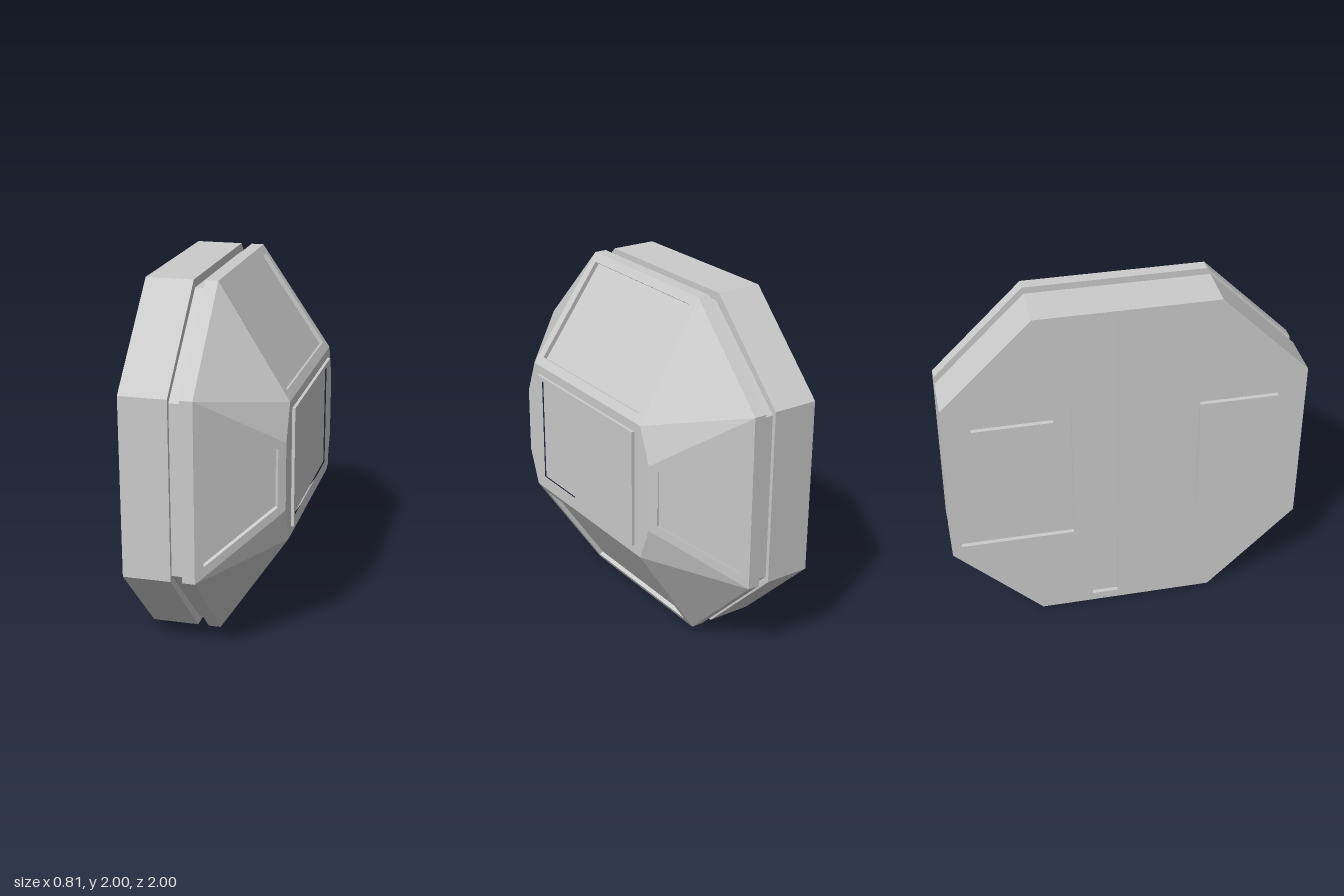
import * as THREE from 'three';

const material = new THREE.MeshStandardMaterial({ color: 0xcccccc, flatShading: true });
const DEPTH = 0.025; // depth of every recess
const BACK = -0.405, RIM = -0.01, CAP = 0.388, FRONT = 0.405;

// Octagon outline in (z, y), centred on 0, from its two corners in one quadrant
function octagon([z1, y1], [z2, y2]) {
  return [[z1, y1], [z2, y2], [-z2, y2], [-z1, y1], [-z1, -y1], [-z2, -y2], [z2, -y2], [z1, -y1]];
}

function rect(z0, z1, y0, y1) {
  return [[z0, y0], [z1, y0], [z1, y1], [z0, y1]];
}

// Shape whose drawing plane is turned to face +x
function outline(points, holes = []) {
  const toVectors = (list) => list.map(([z, y]) => new THREE.Vector2(-z, y));
  const shape = new THREE.Shape(toVectors(points));
  shape.holes = holes.map((h) => new THREE.Path(toVectors(h)));
  return shape;
}

function place(geometry, x, name) {
  geometry.rotateY(Math.PI / 2).translate(x, 1, 0);
  const mesh = new THREE.Mesh(geometry, material);
  mesh.name = name;
  return mesh;
}

function slab(name, x0, x1, points, holes) {
  const geometry = new THREE.ExtrudeGeometry(outline(points, holes), { depth: x1 - x0, bevelEnabled: false });
  return place(geometry, x0, name);
}

function sheet(name, x, points, holes) {
  return place(new THREE.ShapeGeometry(outline(points, holes)), x, name);
}

// Adds a convex polygon as triangles that face the given point
function addFace(out, points, toward) {
  const normal = new THREE.Triangle(points[0], points[1], points[2]).getNormal(new THREE.Vector3());
  const ordered = normal.dot(toward.clone().sub(points[0])) < 0 ? [...points].reverse() : points;
  for (let i = 1; i < ordered.length - 1; i++) out.push(ordered[0], ordered[i], ordered[i + 1]);
}

const centre = (points) => points.reduce((sum, p) => sum.add(p), new THREE.Vector3()).divideScalar(points.length);
const outside = (points) => centre(points).add(new THREE.Vector3(0.3, 0, 0)).multiplyScalar(10);

// Sloped four-sided face with a sunken panel
function addRecessedFace(out, outer, inner) {
  const far = outside(outer);
  const normal = new THREE.Triangle(outer[0], outer[1], outer[2]).getNormal(new THREE.Vector3());
  if (normal.dot(far) < 0) normal.negate();
  const floor = inner.map((p) => p.clone().addScaledVector(normal, -DEPTH));
  const middle = centre(inner);
  for (let i = 0; i < 4; i++) {
    const j = (i + 1) % 4;
    addFace(out, [outer[i], outer[j], inner[j], inner[i]], far);
    addFace(out, [inner[i], inner[j], floor[j], floor[i]], middle);
  }
  addFace(out, floor, far);
}

// Faceted shoulder between the rim and the front cap
function shoulder() {
  const out = [];
  const v = (x, y, z) => new THREE.Vector3(x, y, z);
  const slopeX = (from, to, value) => RIM + ((from - value) / (from - to)) * (CAP - RIM);

  for (const s of [1, -1]) {
    // Top and bottom faces
    const upper = (y, z) => [v(slopeX(1, 0.39, y), s * y, -z), v(slopeX(1, 0.39, y), s * y, z)];
    const [a, b] = upper(1, 0.5), [d, c] = upper(0.39, 0.55);
    const [e, f] = upper(0.957, 0.455), [h, g] = upper(0.435, 0.493);
    addRecessedFace(out, [a, b, c, d], [e, f, g, h]);

    // Side faces
    const side = (z, y) => [v(slopeX(1, 0.63, z), -y, s * z), v(slopeX(1, 0.63, z), y, s * z)];
    const [k, l] = side(1, 0.5), [n, m] = side(0.63, 0.19);
    const [p, q] = side(0.965, 0.412), [t, r] = side(0.663, 0.164);
    addRecessedFace(out, [k, l, m, n], [p, q, r, t]);

    // Corner facets
    for (const sz of [1, -1]) {
      const low = v(RIM, s * 0.5, sz), high = v(RIM, s, sz * 0.5);
      const capHigh = v(CAP, s * 0.39, sz * 0.55), capLow = v(CAP, s * 0.19, sz * 0.63);
      for (const tri of [[low, high, capHigh], [low, capHigh, capLow]]) addFace(out, tri, outside(tri));
    }
  }
  const geometry = new THREE.BufferGeometry().setFromPoints(out);
  geometry.translate(0, 1, 0);
  geometry.computeVertexNormals();
  const mesh = new THREE.Mesh(geometry, material);
  mesh.name = 'shoulder';
  return mesh;
}

export function createModel() {
  const group = new THREE.Group();
  group.name = 'facetedCase';
  const body = octagon([1, 0.5], [0.5, 1]);

  // Back plate with two slots and two recessed panels
  const openings = [];
  for (const s of [1, -1]) {
    openings.push(rect(s * 0.05, s * 0.2, -0.95, 0.95));
    openings.push(rect(s * 0.305, s * 0.945, -0.445, 0.445));
    group.add(slab('backPanelIsland', BACK, BACK + DEPTH + 0.01, rect(s * 0.405, s * 0.845, -0.345, 0.345)));
  }
  group.add(slab('backPlate', BACK, BACK + DEPTH, body, openings));

  // Main body, groove and rim
  group.add(slab('body', BACK + DEPTH, -0.142, body));
  group.add(slab('groove', -0.16, -0.06, octagon([0.978, 0.475], [0.478, 0.953])));
  group.add(slab('rim', -0.08, RIM, body));
  group.add(shoulder());

  // Front cap with a raised frame around a sunken panel
  const opening = rect(-0.468, 0.468, -0.313, 0.313);
  group.add(sheet('frontCap', CAP, octagon([0.63, 0.19], [0.55, 0.39]), [opening]));
  group.add(slab('frontFrame', FRONT - DEPTH, FRONT, rect(-0.495, 0.495, -0.338, 0.338), [opening]));
  group.add(sheet('frontPanel', FRONT - DEPTH, opening));
  return group;
}
